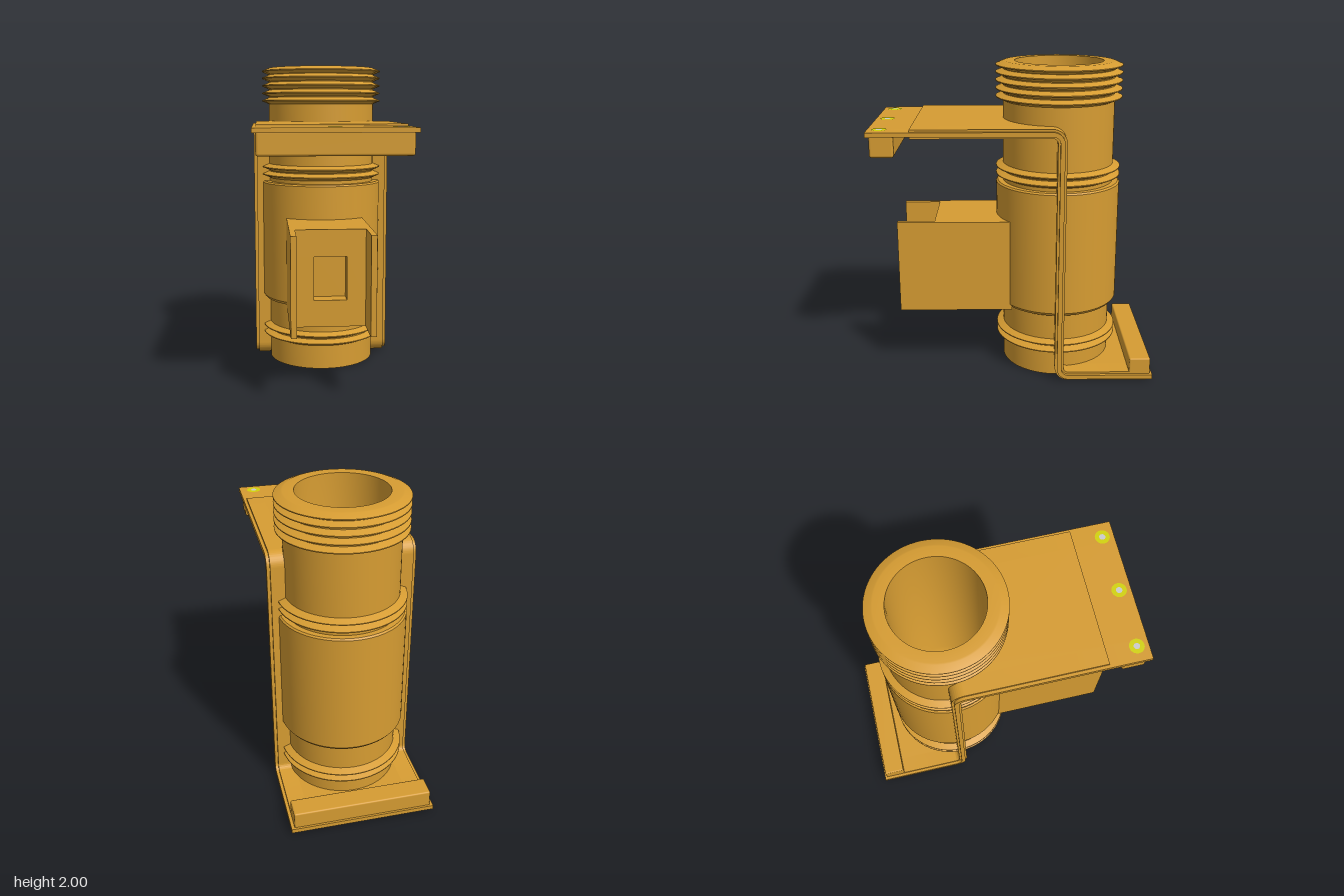
import * as THREE from 'three';
import { toCreasedNormals } from 'three/addons/utils/BufferGeometryUtils.js';
import { RoundedBoxGeometry } from 'three/addons/geometries/RoundedBoxGeometry.js';

const orange = new THREE.MeshStandardMaterial({ color: 0xd69c32 });
const yellow = new THREE.MeshStandardMaterial({ color: 0xd2d20a });
const grey = new THREE.MeshStandardMaterial({ color: 0xcccccc });

export function createModel() {
  const model = new THREE.Group();
  // Everything is built around the tube axis, then turned 45 degrees
  const body = new THREE.Group();
  body.name = 'tubeAssembly';
  body.position.set(0.2, 0, -0.2);
  body.rotation.y = Math.PI / 4;
  model.add(body);

  const add = (name, geo, mat = orange) => {
    const mesh = new THREE.Mesh(geo, mat);
    mesh.name = name;
    body.add(mesh);
    return mesh;
  };
  const extrude = (shape, depth) => toCreasedNormals(
    new THREE.ExtrudeGeometry(shape, { depth, bevelEnabled: false, curveSegments: 24 }), 0.6);
  // Plan shape laid flat between two heights
  const slab = (name, shape, y0, y1) =>
    add(name, extrude(shape, y1 - y0).rotateX(Math.PI / 2).translate(0, y1, 0));
  const polygon = pts => new THREE.Shape(pts.map(p => new THREE.Vector2(...p)));

  // Tube: bore, outer wall with pointed rings, thicker middle, inner floor
  const ring = y => [[0.355, y - 0.022], [0.4, y - 0.003], [0.4, y + 0.003], [0.355, y + 0.022]];
  const profile = [
    [0, 0.42], [0.3, 0.42], [0.3, 0], [0.355, 0],
    ...[0.18, 0.23].flatMap(ring),
    [0.355, 0.43], [0.385, 0.43], [0.4, 0.45], [0.4, 1.23], [0.39, 1.24], [0.355, 1.24],
    ...[1.285, 1.335].flatMap(ring),
    ...[1.78, 1.83, 1.88, 1.93, 1.976].flatMap(ring),
    [0.345, 2], [0.28, 2], [0.28, 0.6], [0.257, 0.543], [0.2, 0.52], [0, 0.52],
  ].map(p => new THREE.Vector2(...p));
  add('tube', toCreasedNormals(new THREE.LatheGeometry(profile, 72), 0.5));

  // Z-shaped bracket profile: top flange, upright, bottom flange
  const yt = 1.617, yb = 0.031, R = 0.06;
  function zProfile(h, left, right) {
    const s = new THREE.Shape();
    s.moveTo(left, yt + h);
    s.lineTo(-R, yt + h);
    s.absarc(-R, yt - R, R + h, Math.PI / 2, 0, true);
    s.lineTo(h, yb + R);
    s.absarc(R, yb + R, R - h, Math.PI, 1.5 * Math.PI, false);
    s.lineTo(right, yb + h);
    s.lineTo(right, yb - h);
    s.lineTo(R, yb - h);
    s.absarc(R, yb + R, R + h, 1.5 * Math.PI, Math.PI, true);
    s.lineTo(-h, yt - R);
    s.absarc(-R, yt - R, R - h, 0, Math.PI / 2, false);
    s.lineTo(left, yt - h);
    return s;
  }
  // Flange between the side strips, cut away around the tube
  function flangePlan(end) {
    const s = new THREE.Shape();
    s.moveTo(end, -0.33);
    s.lineTo(0, -0.33);
    s.absarc(0, 0, 0.33, -Math.PI / 2, end < 0 ? -1.5 * Math.PI : Math.PI / 2, end < 0);
    s.lineTo(end, 0.33);
    return s;
  }
  const layers = [
    { name: 'bracketCore', h: 0.028, left: -0.905, right: 0.585, edge: 0.44 },
    { name: 'bracketLip', h: 0.014, left: -1.163, right: 0.601, edge: 0.46 },
  ];
  for (const { name, h, left, right, edge } of layers) {
    for (const z of [0.33, -edge]) {
      add(name + 'Side', extrude(zProfile(h, left, right), edge - 0.33).translate(0, 0, z));
    }
    slab(name + 'TopFlange', flangePlan(left), yt - h, yt + h);
    slab(name + 'BottomFlange', flangePlan(right), yb - h, yb + h);
  }

  // Bars across the flange ends
  add('topEndBar', new RoundedBoxGeometry(0.145, 0.14, 0.88, 3, 0.015)).position.set(-1.073, 1.545, 0);
  add('bottomEndBar', new RoundedBoxGeometry(0.135, 0.13, 0.88, 3, 0.01)).position.set(0.52, 0.086, 0);

  // Side arm: two cheeks around a slot, with a rectangular socket in its floor
  const w = 0.25, inner = 0.215, tip = -1.025, floor = -0.79, root = -0.3;
  const armPlan = socket => polygon([
    [root, -w], [root, w], [tip, w], [tip, inner], [floor, inner],
    ...(socket ? [[floor, 0.1], [floor + 0.1, 0.1], [floor + 0.1, -0.1], [floor, -0.1]] : []),
    [floor, -inner], [tip, -inner], [tip, -w],
  ]);
  slab('armLower', armPlan(false), 0.415, 0.58);
  slab('armMiddle', armPlan(true), 0.58, 0.85);
  slab('armUpper', armPlan(false), 0.85, 1.015);

  // Screw holes: coloured countersink with a small centre
  function screw(x, y, z, r, down = false) {
    const turn = down ? Math.PI / 2 : -Math.PI / 2;
    add('countersink', new THREE.RingGeometry(r * 0.42, r, 24).rotateX(turn), yellow).position.set(x, y, z);
    add('screwHole', new THREE.CircleGeometry(r * 0.42, 16).rotateX(turn), grey).position.set(x, y, z);
  }
  for (const z of [-0.365, 0, 0.365]) {
    screw(-1.09, yt + 0.016, z, 0.046);
    screw(0.53, 0.001, z, 0.046, true);
  }
  screw(0, 0.522, 0, 0.06);
  screw(-0.163, 0.522, 0, 0.03);

  return model;
}
